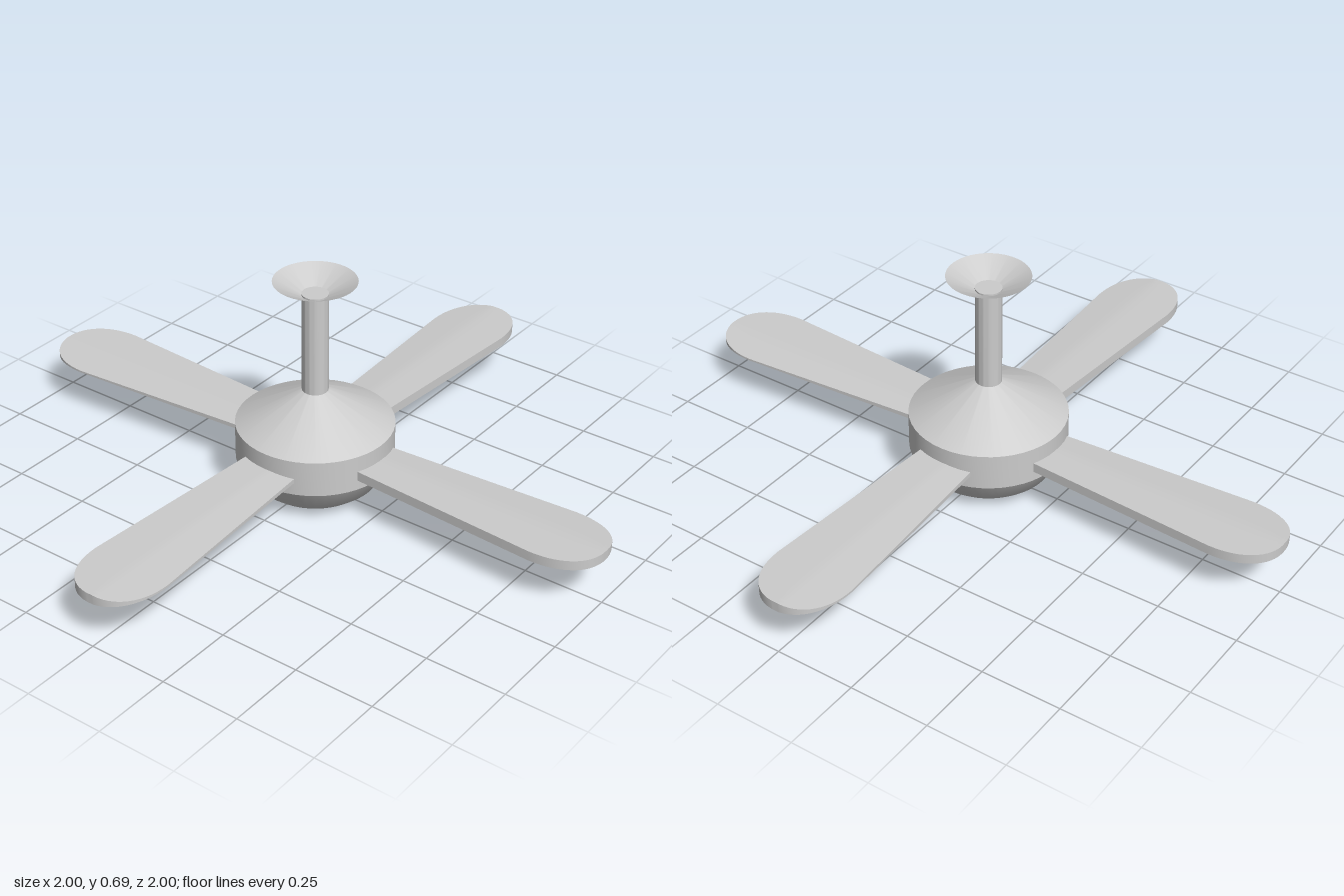
import * as THREE from 'three';
import { toCreasedNormals } from 'three/addons/utils/BufferGeometryUtils.js';

const grey = new THREE.MeshStandardMaterial({ color: 0xcccccc });
const greyOpen = new THREE.MeshStandardMaterial({ color: 0xcccccc, side: THREE.DoubleSide });

// Round part from [radius, height] pairs, bottom to top
function turned(name, profile, material = grey) {
  const lathe = new THREE.LatheGeometry(profile.map(([r, y]) => new THREE.Vector2(r, y)), 48);
  const mesh = new THREE.Mesh(toCreasedNormals(lathe, 0.42), material);
  mesh.name = name;
  return mesh;
}

// Blade along +x: thick edge at +z, thin edge at -z, rounded tip
function bladeGeometry() {
  const root = 0.22, shoulder = 0.83, rootHalf = 0.09, tipHalf = 0.13, across = 12;
  const stations = [];
  for (let i = 0; i <= 6; i++) {
    const t = i / 6;
    stations.push([root + (shoulder - root) * t, rootHalf + (tipHalf - rootHalf) * t]);
  }
  for (let i = 1; i <= 14; i++) {
    const a = (i / 14) * 1.5;
    stations.push([shoulder + 0.17 * Math.pow(Math.sin(a), 0.9), tipHalf * Math.pow(Math.cos(a), 0.9)]);
  }
  const halfThickness = z => (z > -0.01 ? 0.015 : 0.015 - 0.012 * Math.min(1, (-z - 0.01) / 0.12));

  // Each ring runs over the top from thick to thin edge, then back underneath
  const ring = 2 * (across + 1), pos = [], idx = [];
  for (const [x, w] of stations) {
    for (let j = 0; j < ring; j++) {
      const top = j <= across;
      const k = top ? j : ring - 1 - j;
      const z = w * (1 - (2 * k) / across);
      pos.push(x, (top ? 1 : -1) * halfThickness(z), z);
    }
  }
  for (let i = 0; i < stations.length - 1; i++) {
    for (let j = 0; j < ring; j++) {
      const a = i * ring + j, b = i * ring + ((j + 1) % ring);
      idx.push(a, a + ring, b, b, a + ring, b + ring);
    }
  }
  // Root and tip caps
  const last = (stations.length - 1) * ring;
  for (let j = 0; j < across; j++) {
    const a = j, b = j + 1, c = ring - 2 - j, d = ring - 1 - j;
    idx.push(a, b, c, a, c, d);
    idx.push(last + a, last + c, last + b, last + a, last + d, last + c);
  }
  const g = new THREE.BufferGeometry();
  g.setAttribute('position', new THREE.Float32BufferAttribute(pos, 3));
  g.setIndex(idx);
  return toCreasedNormals(g, 0.5);
}

export function createModel() {
  const fan = new THREE.Group();
  fan.name = 'ceilingFan';

  // Motor housing, rod and open ceiling cup
  fan.add(turned('motorHousing', [
    [0, 0], [0.125, 0], [0.165, 0.018], [0.195, 0.042], [0.24, 0.113],
    [0.24, 0.226], [0.04, 0.335], [0, 0.335],
  ]));
  fan.add(turned('downRod', [[0.04, 0.32], [0.04, 0.655], [0, 0.655]]));
  fan.add(turned('ceilingCup', [[0.04, 0.65], [0.125, 0.695]], greyOpen));

  // Four blades around the housing
  const geometry = bladeGeometry();
  for (let i = 0; i < 4; i++) {
    const blade = new THREE.Mesh(geometry, grey);
    blade.name = 'blade' + (i + 1);
    blade.position.y = 0.16;
    blade.rotation.y = (i * Math.PI) / 2;
    fan.add(blade);
  }
  return fan;
}
